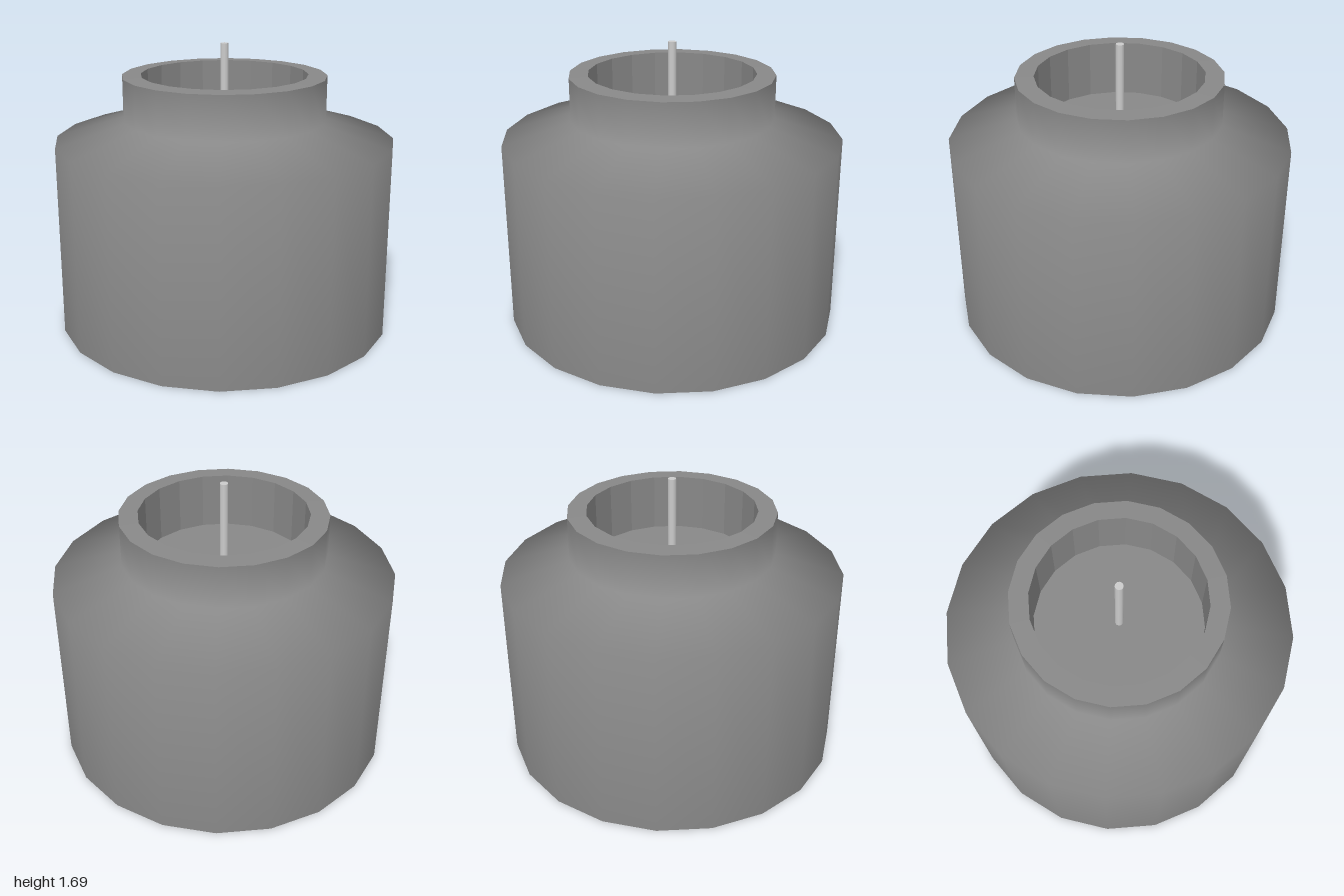
import * as THREE from 'three';

const SIDES = 20;

// Revolve [radius, height] points, listed so the surface faces outward.
function lathe(points, material, name) {
  const profile = points.map(([r, y]) => new THREE.Vector2(r, y));
  const mesh = new THREE.Mesh(new THREE.LatheGeometry(profile, SIDES), material);
  mesh.name = name;
  return mesh;
}

export function createModel() {
  const group = new THREE.Group();
  group.name = 'candleJar';
  const jar = new THREE.MeshStandardMaterial({ color: 0x888888 });
  const jarFlat = new THREE.MeshStandardMaterial({ color: 0x888888, flatShading: true });
  const wickMaterial = new THREE.MeshStandardMaterial({ color: 0xcccccc });

  // Smooth outside: body, sloped shoulder and neck
  group.add(lathe([[1, 0], [1, 1.13], [0.6, 1.25], [0.6, 1.505]], jar, 'outerWall'));

  // Flat base, rim, faceted inner wall and recessed floor
  group.add(lathe([[0, 0], [1, 0]], jarFlat, 'base'));
  group.add(lathe([[0.6, 1.505], [0.49, 1.51]], jarFlat, 'rim'));
  group.add(lathe([[0.49, 1.51], [0.49, 1.18]], jarFlat, 'innerWall'));
  group.add(lathe([[0.49, 1.18], [0, 1.18]], jarFlat, 'floor'));

  // Wick standing on the floor
  const wick = new THREE.Mesh(new THREE.CylinderGeometry(0.024, 0.024, 0.51, 10), wickMaterial);
  wick.position.y = 1.435;
  wick.name = 'wick';
  group.add(wick);

  return group;
}
